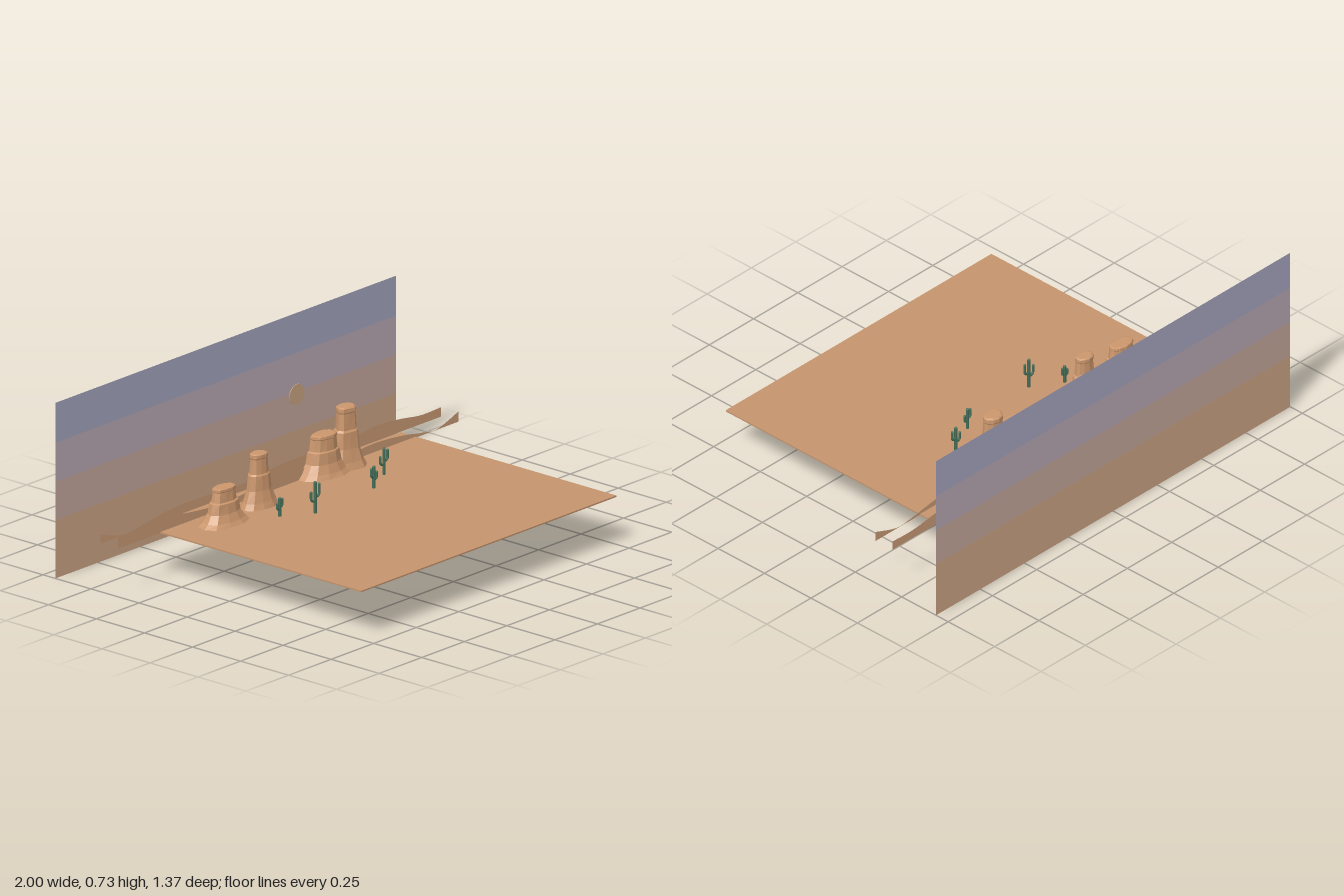
import * as THREE from 'three';

const mat = (name, color, side = THREE.FrontSide) => {
  const m = new THREE.MeshStandardMaterial({ color, side });
  m.name = name;
  return m;
};

function seeded(seed) {
  return () => {
    seed = (seed * 16807) % 2147483647;
    return seed / 2147483647;
  };
}

// Faceted rock tower: irregular rings following a stepped profile
function butteGeometry({ h, base, top, seed }) {
  const N = 11, rnd = seeded(seed);
  const profile = [[0, 1], [0.12, 0.7], [0.33, 0.38], [0.6, 0.26], [0.63, 0.13], [0.9, 0.04], [0.92, 0.09], [0.98, 0.07], [1, -0.08]];
  const jitter = Array.from({ length: N }, () => 0.9 + 0.16 * rnd());
  const pos = [], idx = [];
  profile.forEach(([t, w]) => {
    const rx = top[0] + (base[0] - top[0]) * w, rz = top[1] + (base[1] - top[1]) * w;
    for (let j = 0; j < N; j++) {
      const a = (j / N) * Math.PI * 2 + 0.15;
      const k = jitter[j] * (0.98 + 0.04 * rnd());
      pos.push(Math.cos(a) * rx * k, t * h, Math.sin(a) * rz * k);
    }
  });
  for (let i = 0; i < profile.length - 1; i++) {
    for (let j = 0; j < N; j++) {
      const a = i * N + j, b = i * N + (j + 1) % N;
      idx.push(a, a + N, b, b, a + N, b + N);
    }
  }
  // flat top
  const last = (profile.length - 1) * N, c = pos.length / 3;
  pos.push(0, h, 0);
  for (let j = 0; j < N; j++) idx.push(c, last + (j + 1) % N, last + j);
  const g = new THREE.BufferGeometry();
  g.setAttribute('position', new THREE.Float32BufferAttribute(pos, 3));
  g.setIndex(idx);
  const flat = g.toNonIndexed();
  flat.computeVertexNormals();
  return flat;
}

// Cactus of unit height: trunk and two upturned arms
function makeCactus(material, h, spread, flip) {
  const g = new THREE.Group();
  g.name = 'cactus';
  const r = 0.0065;
  const trunk = new THREE.Mesh(new THREE.CapsuleGeometry(r, h - r, 4, 8), material);
  trunk.name = 'cactusTrunk';
  trunk.position.y = (h - r) / 2;
  g.add(trunk);
  [[-1, 0.38, 0.68], [1, 0.5, 0.86]].forEach(([s, low, high]) => {
    const x = s * flip * spread;
    const path = new THREE.CurvePath();
    const elbow = new THREE.Vector3(x, low * h, 0);
    path.add(new THREE.QuadraticBezierCurve3(new THREE.Vector3(0, low * h, 0), elbow, new THREE.Vector3(x, (low + 0.1) * h, 0)));
    path.add(new THREE.LineCurve3(new THREE.Vector3(x, (low + 0.1) * h, 0), new THREE.Vector3(x, high * h, 0)));
    const arm = new THREE.Mesh(new THREE.TubeGeometry(path, 12, r * 0.8, 8), material);
    arm.name = 'cactusArm';
    const tip = new THREE.Mesh(new THREE.SphereGeometry(r * 0.8, 8, 6), material);
    tip.name = 'cactusArmTip';
    tip.position.set(x, high * h, 0);
    g.add(arm, tip);
  });
  return g;
}

export function createModel() {
  const root = new THREE.Group();
  root.name = 'desertDiorama';
  const sand = mat('sand', 0xc4946d);
  const rock = mat('rock', 0xcb966c);
  const dune = mat('dune', 0xc99b76, THREE.DoubleSide);
  const sunColor = mat('sun', 0xcba583, THREE.DoubleSide);
  const green = mat('cactusGreen', 0x456f59);
  const GROUND = 0.202;

  const add = (name, geometry, material, x, y, z) => {
    const m = new THREE.Mesh(geometry, material);
    m.name = name;
    m.position.set(x, y, z);
    root.add(m);
    return m;
  };

  // Backdrop sky bands, bottom to top
  const bands = [
    ['skyHorizon', 0xcda485, 0, 0.24],
    ['skyLow', 0xc4a79c, 0.24, 0.4],
    ['skyMiddle', 0xb8a8b2, 0.4, 0.56],
    ['skyHigh', 0xa5a5bf, 0.56, 0.725],
  ];
  bands.forEach(([name, color, y0, y1]) =>
    add(name, new THREE.PlaneGeometry(2, y1 - y0), mat(name, color, THREE.DoubleSide), 0, (y0 + y1) / 2, -0.685));

  // Thin ground slab
  add('ground', new THREE.BoxGeometry(1.5, 0.006, 1.125), sand, 0, GROUND - 0.003, 0.1225);

  // Sun disc
  const sun = add('sun', new THREE.CylinderGeometry(0.042, 0.042, 0.003, 40), sunColor, 0.265, 0.46, -0.55);
  sun.rotation.x = Math.PI / 2;

  // Wavy dune strips behind the rocks
  const crest = [[-1, 0.25], [-0.9, 0.245], [-0.75, 0.262], [-0.58, 0.238], [-0.4, 0.225], [-0.2, 0.235],
    [-0.03, 0.255], [0.12, 0.24], [0.3, 0.228], [0.5, 0.238], [0.66, 0.228], [0.8, 0.206], [0.88, 0.201], [1, 0.24]];
  const farCrest = [[-1, 0.238], [-0.88, 0.201], [-0.78, 0.208], [-0.6, 0.232], [-0.4, 0.235], [-0.2, 0.225],
    [0, 0.245], [0.2, 0.25], [0.42, 0.24], [0.6, 0.26], [0.75, 0.252], [0.88, 0.235], [1, 0.237]];
  [['nearDunes', crest, -0.36], ['farDunes', farCrest, -0.45]].forEach(([name, pts, z]) => {
    const s = new THREE.Shape();
    s.moveTo(-1, 0.198);
    s.lineTo(...pts[0]);
    s.splineThru(pts.slice(1).map(p => new THREE.Vector2(...p)));
    s.lineTo(1, 0.198);
    add(name, new THREE.ShapeGeometry(s, 5), dune, 0, 0, z);
  });

  // Rock buttes: position, height, base and top half sizes
  [
    { x: -0.495, z: -0.255, h: 0.15, base: [0.135, 0.08], top: [0.055, 0.03], seed: 11 },
    { x: -0.258, z: -0.285, h: 0.22, base: [0.098, 0.06], top: [0.039, 0.026], seed: 29 },
    { x: -0.192, z: -0.33, h: 0.17, base: [0.052, 0.037], top: [0.024, 0.016], seed: 47 },
    { x: 0.185, z: -0.34, h: 0.17, base: [0.133, 0.078], top: [0.057, 0.035], seed: 83 },
    { x: 0.318, z: -0.34, h: 0.25, base: [0.103, 0.072], top: [0.043, 0.03], seed: 131 },
  ].forEach(b => add('butte', butteGeometry(b), rock, b.x, GROUND - 0.002, b.z));

  // Cacti: x, z, height, arm spread, mirror
  [
    [-0.303, -0.135, 0.08, 0.014, 1],
    [-0.182, -0.058, 0.133, 0.024, 1],
    [0.19, -0.082, 0.094, 0.016, -1],
    [0.335, -0.158, 0.113, 0.021, 1],
  ].forEach(([x, z, h, spread, flip]) => {
    const c = makeCactus(green, h, spread, flip);
    c.position.set(x, GROUND - 0.001, z);
    root.add(c);
  });

  return root;
}
